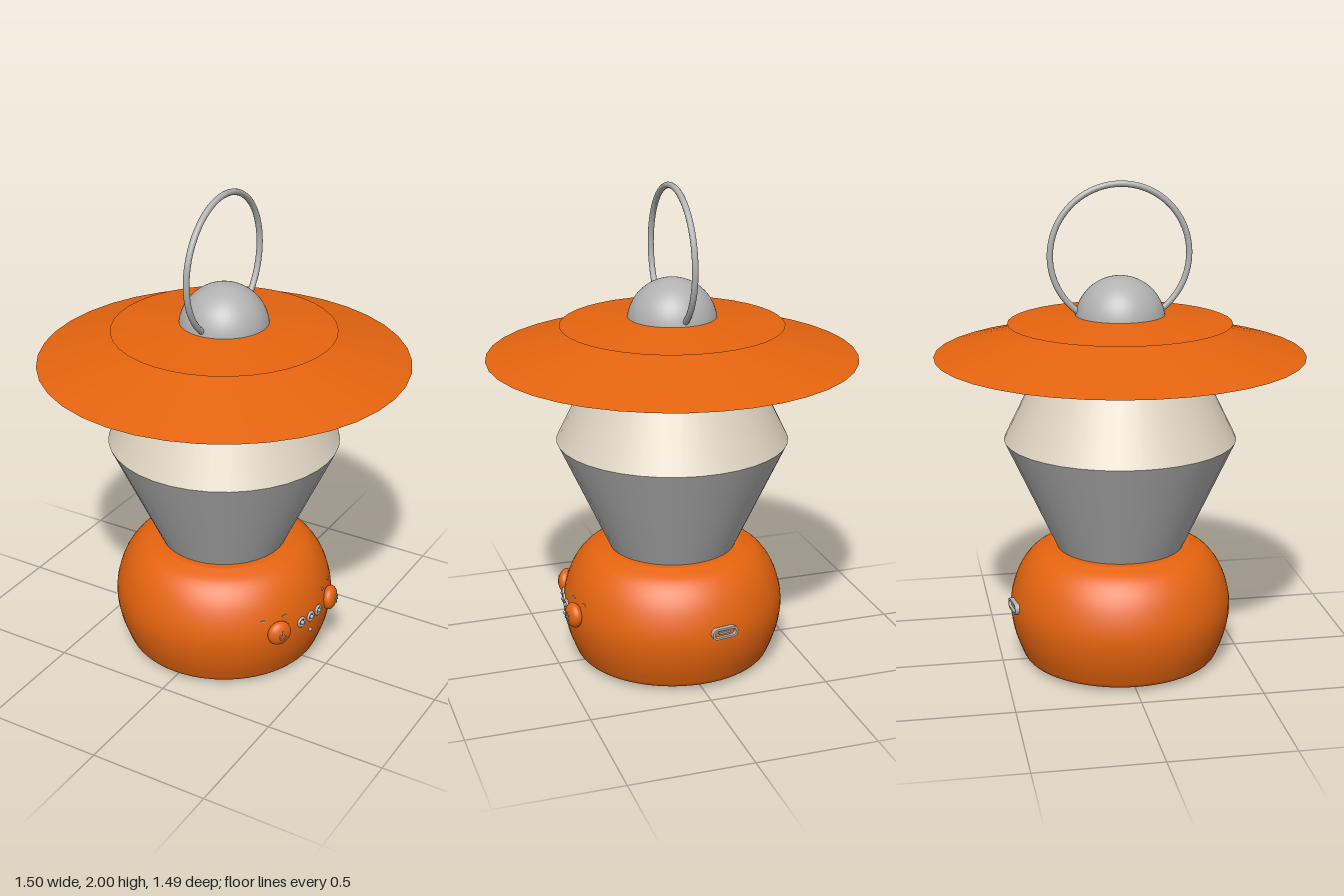
import * as THREE from 'three';

const SIDES = 38;

function material(name, color, side = THREE.FrontSide) {
  const m = new THREE.MeshStandardMaterial({ color, side });
  m.name = name;
  return m;
}

export function createModel() {
  const model = new THREE.Group();
  model.name = 'lantern';

  const orange = material('orange', 0xe5640f, THREE.DoubleSide);
  const grey = material('grey metal', 0xb2b2b2);
  const cream = material('cream', 0xdfd4c2);
  const black = material('black rubber', 0x2b2b2b);

  const add = (name, geometry, mat, parent = model, pos = [0, 0, 0]) => {
    const mesh = new THREE.Mesh(geometry, mat);
    mesh.name = name;
    mesh.position.set(...pos);
    parent.add(mesh);
    return mesh;
  };
  const lathe = (points, segments = 64) =>
    new THREE.LatheGeometry(points.map(([r, y]) => new THREE.Vector2(r, y)), segments);
  // Cone band whose flat sides face front and back
  const band = (rTop, rBottom, y0, y1, open = true) =>
    new THREE.CylinderGeometry(rTop, rBottom, y1 - y0, SIDES, 1, open)
      .rotateY(Math.PI / SIDES).translate(0, (y0 + y1) / 2, 0);

  // Rounded base, smoothed through a few profile points
  const profile = new THREE.CatmullRomCurve3([
    [0.355, 0.012], [0.40, 0.022], [0.42, 0.06], [0.447, 0.14], [0.46, 0.23],
    [0.45, 0.31], [0.415, 0.40], [0.36, 0.465], [0.29, 0.495],
  ].map(([r, y]) => new THREE.Vector3(r, y, 0))).getPoints(32).map(p => [p.x, p.y]);
  add('base', lathe(profile), orange);
  add('baseTop', lathe([[0.29, 0.495], [0.2, 0.5]]), orange);
  add('underside', lathe([[0, 0.012], [0.03, 0.014], [0.06, 0.024], [0.12, 0.022],
    [0.2, 0.019], [0.29, 0.018]]), orange);
  add('footRing', lathe([[0.28, 0.02], [0.285, 0.003], [0.295, 0], [0.34, 0],
    [0.352, 0.003], [0.358, 0.018]]), black);

  // Reflector, diffuser and the two shade discs
  add('reflector', band(0.475, 0.26, 0.49, 0.955), grey);
  add('diffuser', band(0.243, 0.475, 0.955, 1.43, false), cream);
  add('lowerShade', band(0.2, 0.75, 1.305, 1.442), orange);
  add('upperShade', band(0.17, 0.453, 1.434, 1.467), orange);

  // Cap and carrying loop
  add('cap', new THREE.SphereGeometry(0.182, 48, 20, 0, Math.PI * 2, 0, Math.PI / 2), grey,
    model, [0, 1.44, 0]);
  const gap = 0.6;
  const loop = new THREE.TorusGeometry(0.281, 0.0125, 12, 72, Math.PI * 2 - gap * 2);
  loop.rotateZ(-Math.PI / 2 + gap).rotateY(Math.PI / 2);
  add('carryLoop', loop, grey, model, [0, 1.706, 0]);

  // Mount on the base wall: local +z points straight out
  const mount = (name, x, y, z) => {
    const g = new THREE.Group();
    g.name = name;
    g.position.set(x, y, z);
    g.rotation.y = Math.atan2(x, z);
    model.add(g);
    return g;
  };
  const onRight = (name, y, z, r = 0.456) => mount(name, Math.sqrt(r * r - z * z), y, z);

  // Two push buttons with small marks
  const buttonZ = [0.24, -0.10];
  buttonZ.forEach((z, i) => {
    const g = onRight(i ? 'lightButton' : 'powerButton', 0.263, z, 0.468);
    const cap = add('buttonCap', new THREE.SphereGeometry(0.052, 28, 18), orange, g);
    cap.scale.z = 0.6;
    if (i) {
      for (let k = 0; k < 3; k++) {
        const ray = add('buttonRay', new THREE.BoxGeometry(0.04, 0.005, 0.006), grey, g, [0, 0, 0.03]);
        ray.rotation.z = k * Math.PI / 3 + Math.PI / 6;
      }
    } else {
      const arc = new THREE.TorusGeometry(0.014, 0.003, 6, 20, Math.PI * 1.6);
      add('buttonArc', arc.rotateZ(Math.PI * 0.7), grey, g, [0, -0.002, 0.03]);
      add('buttonBar', new THREE.BoxGeometry(0.005, 0.018, 0.006), grey, g, [0, 0.014, 0.029]);
    }
    // Tiny marks above each button
    for (const s of [-1, 1]) {
      const m = onRight('buttonMark', 0.322, z + s * 0.042, 0.446);
      add('markPlate', new THREE.BoxGeometry(0.018, 0.006, 0.008), grey, m);
    }
  });

  // Row of indicator lamps and a small sensor below
  for (const z of [0.123, 0.066, 0.009]) {
    const g = onRight('indicator', 0.262, z, 0.46);
    add('indicatorRim', new THREE.TorusGeometry(0.018, 0.006, 10, 24), grey, g);
    add('indicatorBulb', new THREE.SphereGeometry(0.009, 12, 8), grey, g, [0, 0, 0.004]);
  }
  const sensor = onRight('sensor', 0.197, 0.066, 0.458);
  add('sensorDot', new THREE.SphereGeometry(0.009, 12, 8), grey, sensor);

  // Charging port at the back
  const capsule = (w, r, Type) => {
    const s = new Type();
    s.absarc(w, 0, r, -Math.PI / 2, Math.PI / 2, false);
    s.absarc(-w, 0, r, Math.PI / 2, Math.PI * 1.5, false);
    s.closePath();
    return s;
  };
  const rim = capsule(0.034, 0.023, THREE.Shape);
  rim.holes.push(capsule(0.034, 0.014, THREE.Path));
  const port = mount('chargingPort', -0.07, 0.27, -0.45);
  add('portRim', new THREE.ExtrudeGeometry(rim, {
    depth: 0.022, bevelEnabled: false, curveSegments: 12,
  }), grey, port, [0, 0, -0.006]);
  add('portTongue', new THREE.BoxGeometry(0.05, 0.008, 0.016), grey, port, [0, 0, 0.002]);

  return model;
}
